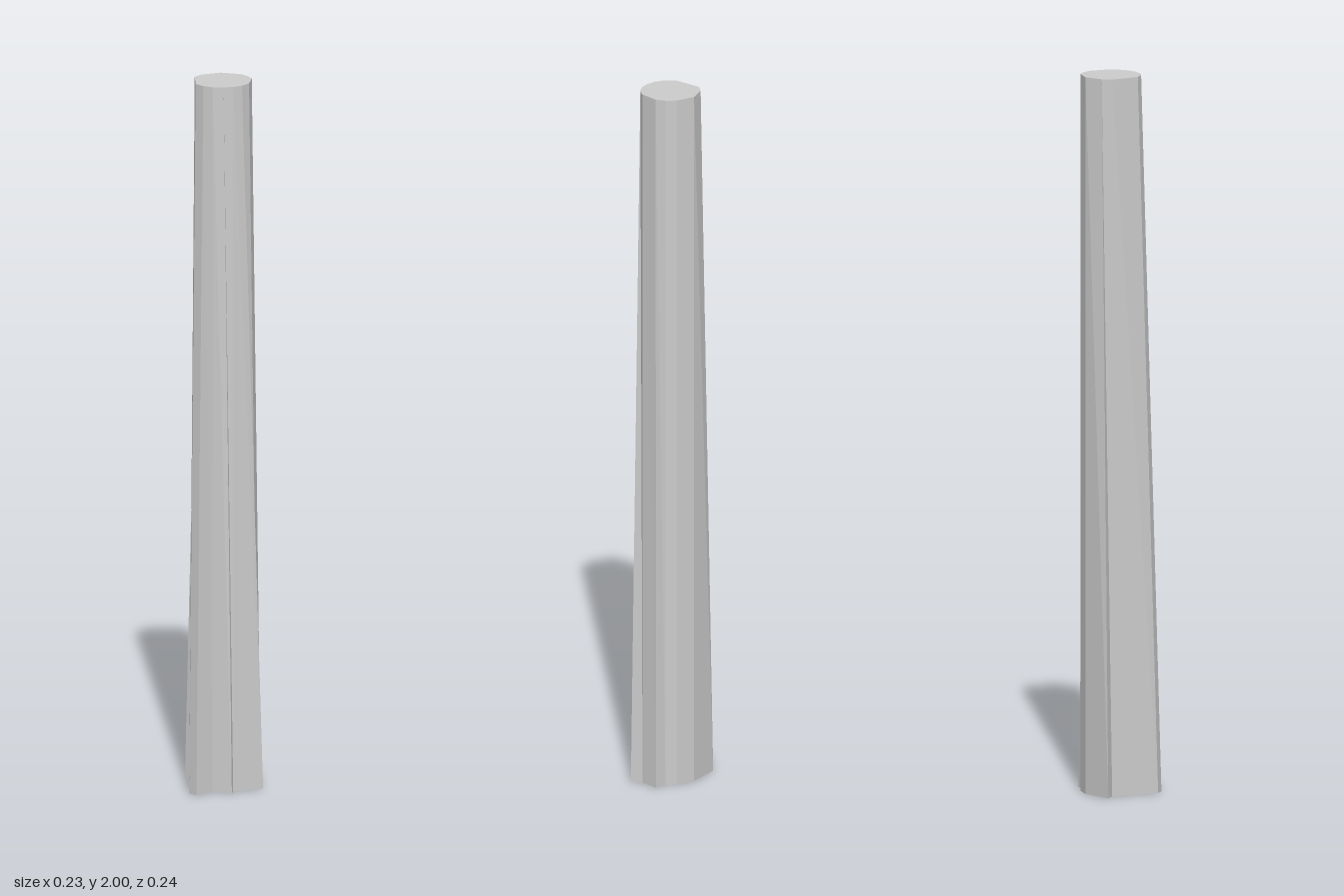
import * as THREE from 'three';

const HEIGHT = 2;

// Each rib of the trunk: [top x, top z, foot x, foot z]; no foot means it drops straight down.
const RIBS = [
  [-0.012, -0.098], [0.018, -0.098],
  [0.045, -0.088, 0.045, -0.121], // back root
  [0.081, -0.045, 0.081, -0.079],
  [0.086, -0.014, 0.113, -0.068], // back left root
  [0.081, 0.014],
  [0.067, 0.037, 0.094, 0.031], // small left root
  [0.045, 0.058],
  [0.018, 0.068, 0.045, 0.118], // broad front root
  [-0.013, 0.068, 0.015, 0.118],
  [-0.076, 0.014],
  [-0.08, -0.015, -0.115, 0.015], // right root
  [-0.061, -0.068],
];

// Flat-shaded wall between the foot outline and the top outline
function wallGeometry(foot, top) {
  const points = [];
  foot.forEach((b, i) => {
    const j = (i + 1) % foot.length;
    const low = (p) => [p.x, 0, p.y];
    const high = (p) => [p.x, HEIGHT, p.y];
    points.push(...low(b), ...high(top[i]), ...high(top[j]));
    points.push(...low(b), ...high(top[j]), ...low(foot[j]));
  });
  const geometry = new THREE.BufferGeometry();
  geometry.setAttribute('position', new THREE.Float32BufferAttribute(points, 3));
  geometry.computeVertexNormals();
  return geometry;
}

export function createModel() {
  const group = new THREE.Group();
  group.name = 'treeTrunk';
  const material = new THREE.MeshStandardMaterial({ color: 0xcccccc, flatShading: true });
  const add = (name, geometry) => {
    const mesh = new THREE.Mesh(geometry, material);
    mesh.name = name;
    group.add(mesh);
    return mesh;
  };

  const top = RIBS.map(([x, z]) => new THREE.Vector2(x, z));
  const foot = RIBS.map(([x, z, fx = x, fz = z]) => new THREE.Vector2(fx, fz));

  // Bark with flaring roots
  add('bark', wallGeometry(foot, top));

  // Flat cut at the top, facing up
  const topShape = new THREE.Shape(top.map((p) => new THREE.Vector2(p.x, -p.y)));
  add('topCut', new THREE.ShapeGeometry(topShape).rotateX(-Math.PI / 2)).position.y = HEIGHT;

  // Underside, facing down
  add('underside', new THREE.ShapeGeometry(new THREE.Shape(foot)).rotateX(Math.PI / 2));

  return group;
}
